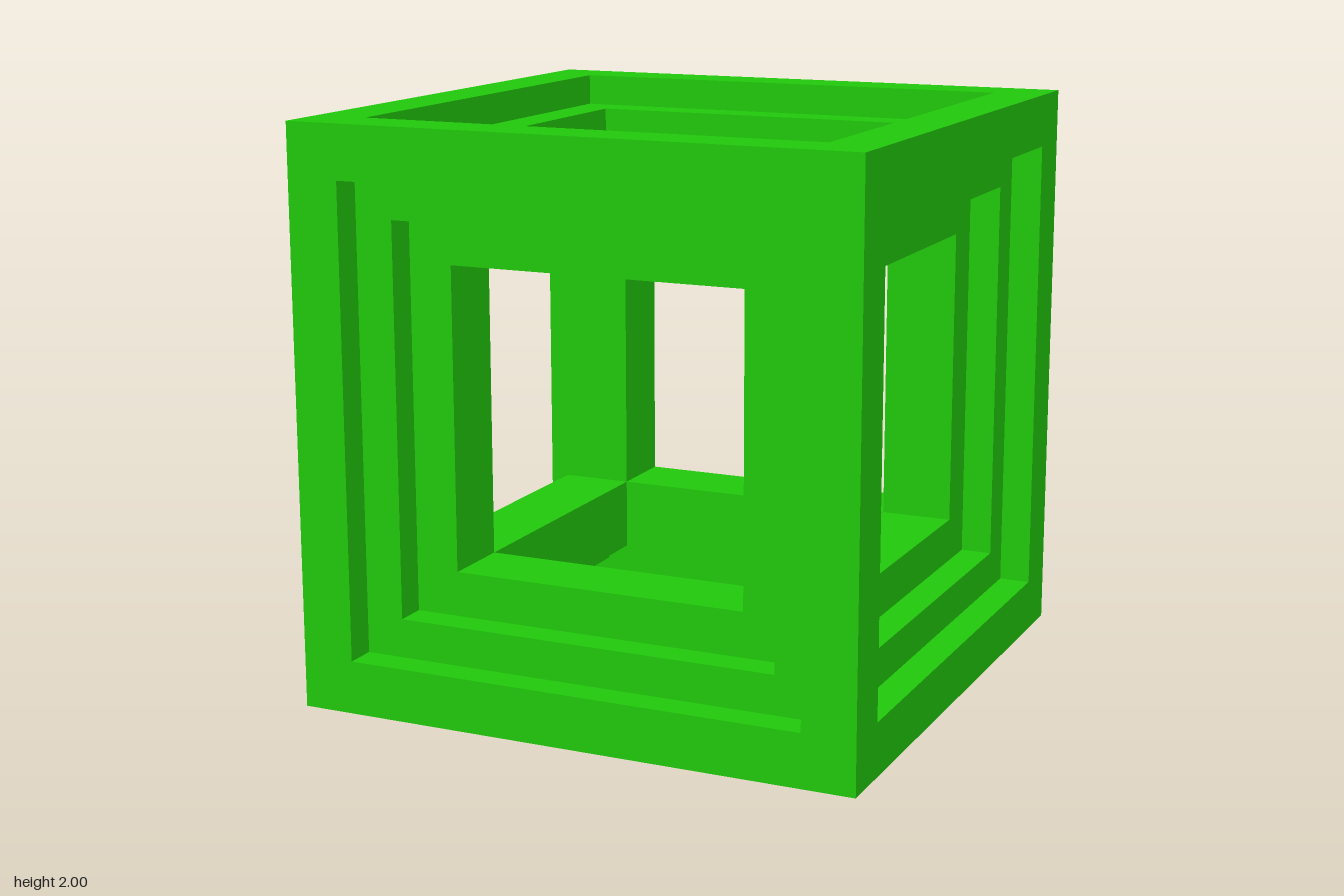
import * as THREE from 'three';

// Stepped profile of one side: [half-width of the square, distance from the cube centre]
const STEPS = [
  [1, 1], [0.815, 1],          // outer rim
  [0.815, 0.89], [0.68, 0.89], // middle step
  [0.68, 0.78], [0.525, 0.78], // inner step
  [0.525, 0.525],              // opening through to the hollow core
];

// A four-sided lathe turns the profile into a square, stepped window frame facing +y
function steppedFrame() {
  const points = STEPS.map(([half, height]) => new THREE.Vector2(half * Math.SQRT2, height));
  const geometry = new THREE.LatheGeometry(points, 4, Math.PI / 4).toNonIndexed();
  geometry.computeVertexNormals();
  return geometry;
}

export function createModel() {
  const group = new THREE.Group();
  group.name = 'steppedCubeFrame';
  const material = new THREE.MeshStandardMaterial({ color: 0x22cc0c, flatShading: true });
  const geometry = steppedFrame();

  // The same frame closes all six sides of the cube
  const sides = {
    topFrame: [0, 0],
    frontFrame: [Math.PI / 2, 0],
    bottomFrame: [Math.PI, 0],
    backFrame: [-Math.PI / 2, 0],
    leftFrame: [0, -Math.PI / 2],
    rightFrame: [0, Math.PI / 2],
  };
  for (const [name, [rx, rz]] of Object.entries(sides)) {
    const side = new THREE.Mesh(geometry, material);
    side.name = name;
    side.rotation.set(rx, 0, rz);
    side.position.y = 1;
    group.add(side);
  }
  return group;
}
